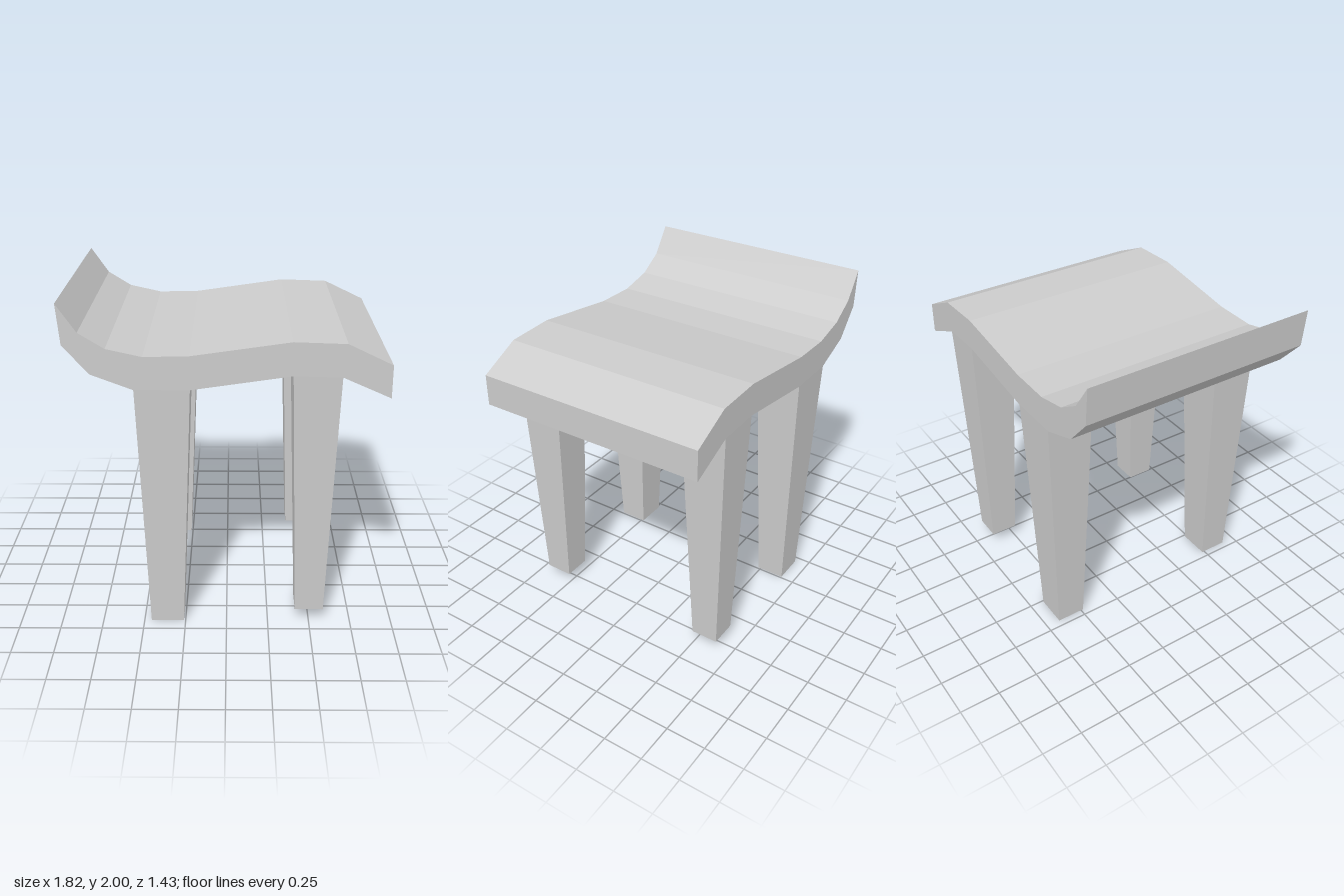
import * as THREE from 'three';

const material = new THREE.MeshStandardMaterial({ color: 0xcccccc, flatShading: true });
const HALF_DEPTH = 0.715;

// Tapered four-sided leg; each end is { y, x: [min, max], z: [inner, outer] }, side is +1 or -1 in z
function makeLeg(name, bottom, top, side) {
  const geometry = new THREE.BoxGeometry(1, 1, 1);
  const p = geometry.attributes.position;
  for (let i = 0; i < p.count; i++) {
    const end = p.getY(i) > 0 ? top : bottom;
    const x = end.x[p.getX(i) > 0 ? 1 : 0];
    const z = side * end.z[p.getZ(i) * side > 0 ? 1 : 0];
    p.setXYZ(i, x, end.y, z);
  }
  geometry.computeVertexNormals();
  const leg = new THREE.Mesh(geometry, material);
  leg.name = name;
  return leg;
}

// Wavy slab: side profile extruded across the depth
function makeSeat() {
  const profile = [
    // upper surface, raised lip to drooping edge
    [-0.91, 2.0], [-0.8, 1.84], [-0.655, 1.75], [-0.455, 1.705], [-0.2, 1.71],
    [0.36, 1.79], [0.655, 1.78], [0.905, 1.66],
    // underside, back towards the lip
    [0.905, 1.47], [0.635, 1.59], [0.365, 1.597], [-0.2, 1.515],
    [-0.51, 1.515], [-0.745, 1.605], [-0.89, 1.77],
  ];
  const shape = new THREE.Shape(profile.map(([x, y]) => new THREE.Vector2(x, y)));
  const geometry = new THREE.ExtrudeGeometry(shape, { depth: 2 * HALF_DEPTH, bevelEnabled: false });
  geometry.translate(0, 0, -HALF_DEPTH);
  const seat = new THREE.Mesh(geometry, material);
  seat.name = 'seat';
  return seat;
}

export function createModel() {
  const model = new THREE.Group();
  model.name = 'stool';
  model.add(makeSeat());

  // Front and back pairs of legs; the pair under the drooping edge is shorter
  for (const side of [1, -1]) {
    const place = side > 0 ? 'front' : 'back';
    model.add(makeLeg(`${place}RightLeg`,
      { y: 0, x: [-0.457, -0.26], z: [0.485, 0.662] },
      { y: 1.517, x: [-0.51, -0.2], z: [0.435, HALF_DEPTH] }, side));
    model.add(makeLeg(`${place}LeftLeg`,
      { y: 0.08, x: [0.415, 0.585], z: [0.49, 0.66] },
      { y: 1.597, x: [0.365, 0.635], z: [0.435, HALF_DEPTH] }, side));
  }
  return model;
}
